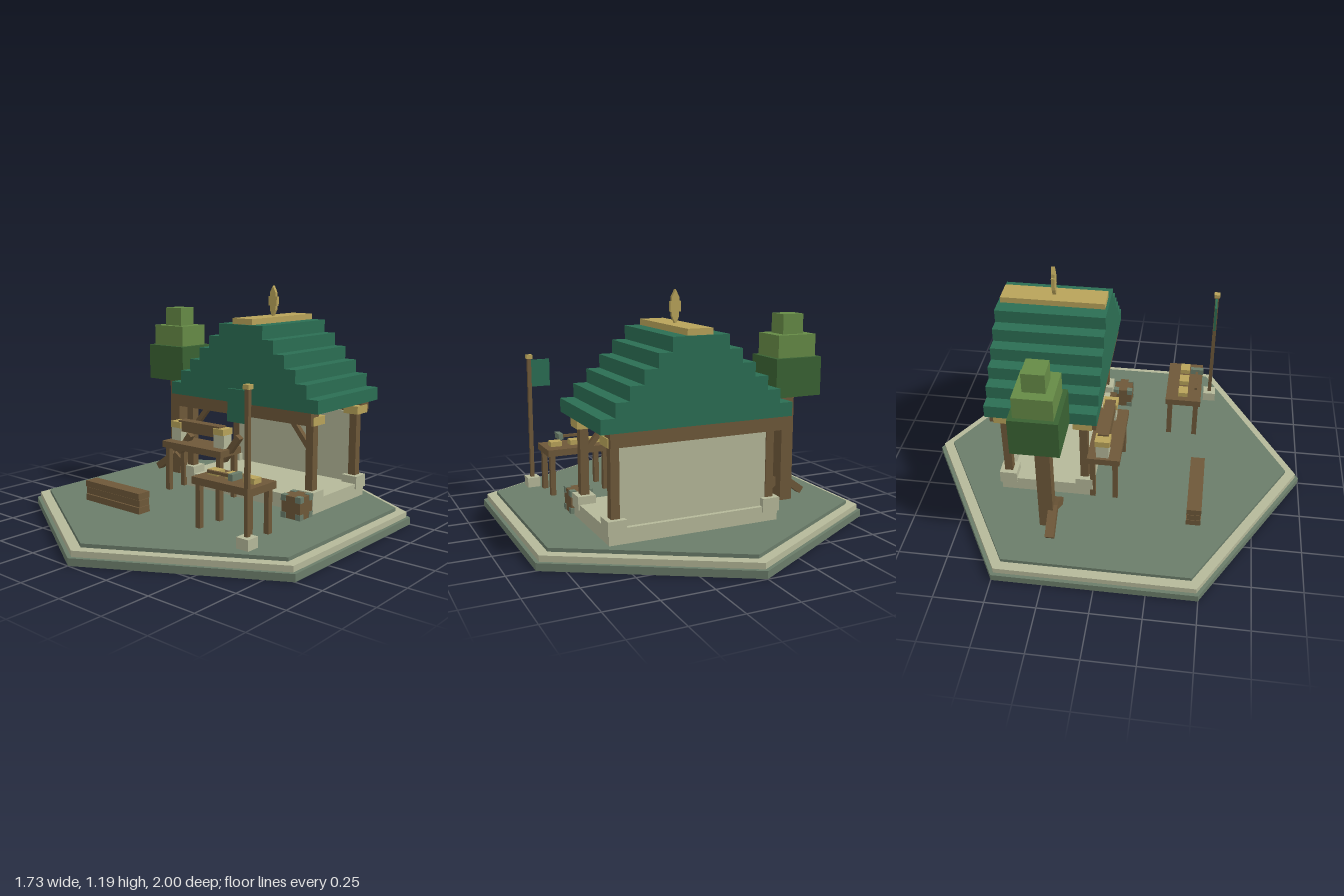
import * as THREE from 'three';

const mat = (name, color) => {
  const m = new THREE.MeshStandardMaterial({ color });
  m.name = name;
  return m;
};

export function createModel() {
  const slate = mat('slate', 0x6b7d6a), cream = mat('cream', 0xb5b899), wood = mat('wood', 0x6e5839);
  const gold = mat('gold', 0xb8a35a), roofGreen = mat('roofGreen', 0x2b6e53);
  const leafDark = mat('leafDark', 0x3a6233), leafLight = mat('leafLight', 0x658a46);
  const model = new THREE.Group();
  model.name = 'workshopYard';

  const group = (name) => {
    const g = new THREE.Group();
    g.name = name;
    model.add(g);
    return g;
  };
  // Box given by its extents [min, max] on each axis
  const box = (parent, name, m, [x0, x1], [y0, y1], [z0, z1]) => {
    const mesh = new THREE.Mesh(new THREE.BoxGeometry(x1 - x0, y1 - y0, z1 - z0), m);
    mesh.position.set((x0 + x1) / 2, (y0 + y1) / 2, (z0 + z1) / 2);
    mesh.name = name;
    parent.add(mesh);
    return mesh;
  };
  const around = (c, h) => [c - h, c + h];
  // Square bar between two points in a plane of constant z
  const bar = (parent, name, ax, ay, bx, by, z, w, d) => {
    const mesh = new THREE.Mesh(new THREE.BoxGeometry(Math.hypot(bx - ax, by - ay), w, d), wood);
    mesh.position.set((ax + bx) / 2, (ay + by) / 2, z);
    mesh.rotation.z = Math.atan2(by - ay, bx - ax);
    mesh.name = name;
    parent.add(mesh);
  };

  // Hexagonal ground in three tiers
  const ground = group('ground');
  [[1, 0, 0.036, slate], [0.98, 0.036, 0.065, cream], [0.925, 0.065, 0.083, slate]].forEach(([r, y0, y1, m], i) => {
    const geo = new THREE.CylinderGeometry(r, r, y1 - y0, 6).toNonIndexed();
    geo.computeVertexNormals();
    const tier = new THREE.Mesh(geo, m);
    tier.position.y = (y0 + y1) / 2;
    tier.name = `groundTier${i + 1}`;
    ground.add(tier);
  });
  const G = 0.083;

  // Pavilion: floor, back wall, posts, beams and braces
  const hut = group('pavilion');
  const CX = 0.117, CZ = -0.326;
  box(hut, 'floor', cream, around(CX, 0.4325), [G, 0.157], around(CZ, 0.2375));
  box(hut, 'backWall', cream, around(CX, 0.38), [0.157, 0.535], around(CZ - 0.2, 0.016));
  for (const sz of [1, -1]) {
    const pz = CZ + sz * 0.2;
    box(hut, 'eaveBeam', wood, around(CX, 0.4325), [0.532, 0.6], around(CZ + sz * 0.233, 0.035));
    for (const sx of [1, -1]) {
      const px = CX + sx * 0.395;
      box(hut, 'footing', cream, around(px, 0.045), [0.13, 0.197], around(pz, 0.045));
      box(hut, 'post', wood, around(px, 0.021), [0.157, 0.54], around(pz, 0.021));
      box(hut, 'capital', gold, around(px, 0.043), [0.53, 0.572], around(pz, 0.048));
      if (sz > 0) bar(hut, 'brace', px - sx * 0.005, 0.4, px - sx * 0.13, 0.55, pz, 0.026, 0.026);
    }
  }

  // Stepped roof with ridge plate and finial
  const roof = group('roof');
  for (let i = 0; i < 6; i++) {
    const y = 0.598 + i * 0.067;
    box(roof, 'roofStep', roofGreen, around(CX + 0.001, 0.478 - i * 0.0676), [y, y + 0.067], around(CZ, 0.278));
  }
  box(roof, 'ridgePlate', gold, around(CX + 0.002, 0.063), [1, 1.03], around(CZ, 0.265));
  const half = [[0, 1.187], [0.018, 1.152], [0.018, 1.132], [0.027, 1.132], [0.027, 1.083], [0.018, 1.083], [0.018, 1.062], [0.003, 1.029]];
  const outline = [...half, ...half.slice(1).reverse().map(([x, y]) => [-x, y])];
  const finial = new THREE.Mesh(new THREE.ExtrudeGeometry(
    new THREE.Shape(outline.map(([x, y]) => new THREE.Vector2(x, y))), { depth: 0.018, bevelEnabled: false }), gold);
  finial.position.set(CX + 0.001, 0, CZ - 0.009);
  finial.name = 'finial';
  roof.add(finial);

  // Table tops with four legs, shared by the bench and the work table
  const table = (name, [x0, x1], [y0, y1], [z0, z1]) => {
    const g = group(name);
    box(g, 'tableTop', wood, [x0, x1], [y0, y1], [z0, z1]);
    for (const x of [x0 + 0.027, x1 - 0.027])
      for (const z of [z0 + 0.025, z1 - 0.025])
        box(g, 'tableLeg', wood, around(x, 0.0135), [G, y0], around(z, 0.0135));
    return g;
  };

  // Bench with a roller on two bearing blocks and slanted handles
  const bench = table('rollerBench', [-0.333, 0.08], [0.32, 0.355], [-0.107, 0.06]);
  for (const x of [-0.283, 0.018]) {
    box(bench, 'bearingBlock', cream, around(x, 0.035), [0.355, 0.425], around(-0.03, 0.032));
    box(bench, 'bearingCap', gold, around(x, 0.035), [0.425, 0.458], around(-0.03, 0.038));
  }
  box(bench, 'roller', wood, [-0.27, 0.016], [0.407, 0.467], around(-0.03, 0.028));
  bar(bench, 'handle', 0.028, 0.288, 0.132, 0.427, -0.03, 0.032, 0.032);
  bar(bench, 'handle', -0.283, 0.288, -0.205, 0.392, -0.03, 0.032, 0.032);

  // Work table with ingots and a hammer
  const work = table('workTable', [0.227, 0.574], [0.297, 0.332], [0.247, 0.44]);
  for (const x of [0.292, 0.4, 0.508]) box(work, 'ingot', gold, around(x, 0.031), [0.332, 0.358], around(0.34, 0.026));
  box(work, 'hammerHandle', wood, [0.3, 0.455], [0.357, 0.371], around(0.408, 0.007));
  box(work, 'hammerHead', slate, [0.452, 0.477], [0.352, 0.383], around(0.408, 0.036));

  // Crate with metal corners
  const crate = group('crate');
  box(crate, 'crateBody', wood, around(0.504, 0.055), [G, 0.196], around(-0.018, 0.051));
  for (const sx of [1, -1]) for (const sy of [1, -1]) for (const sz of [1, -1])
    box(crate, 'crateCorner', slate, around(0.504 + sx * 0.043, 0.015),
      around(0.1405 + sy * 0.0435, 0.015), around(-0.018 + sz * 0.039, 0.015));

  // Flag pole
  const flag = group('flagPole');
  box(flag, 'poleBase', cream, around(0.597, 0.034), [G, 0.135], around(0.488, 0.035));
  box(flag, 'pole', wood, around(0.597, 0.01), [0.135, 0.79], around(0.488, 0.01));
  box(flag, 'poleCap', gold, around(0.597, 0.016), [0.787, 0.808], around(0.488, 0.016));
  box(flag, 'flag', roofGreen, [0.486, 0.588], [0.635, 0.78], around(0.486, 0.006));

  // Stack of planks
  const planks = group('plankStack');
  for (let i = 0; i < 3; i++) {
    const y = 0.093 + i * 0.0355;
    box(planks, 'plank', wood, [-0.47, -0.08], [y, y + 0.033], [0.413 + (i === 1 ? 0.004 : 0), 0.487 - (i === 1 ? 0.004 : 0)]);
  }

  // Tree with block foliage and sloping roots
  const tree = group('tree');
  const TX = -0.525, TZ = -0.29;
  box(tree, 'trunk', wood, around(TX, 0.034), [G, 0.66], around(-0.28, 0.036));
  for (const s of [1, -1]) bar(tree, 'root', TX, 0.198, TX + s * 0.13, 0.104, -0.247, 0.038, 0.045);
  box(tree, 'lowerFoliage', leafDark, around(TX, 0.129), [0.643, 0.838], around(TZ, 0.117));
  box(tree, 'middleFoliage', leafLight, around(TX, 0.107), [0.838, 0.95], around(TZ, 0.094));
  box(tree, 'topFoliage', leafLight, around(TX, 0.058), [0.95, 1.05], around(TZ, 0.054));

  return model;
}
